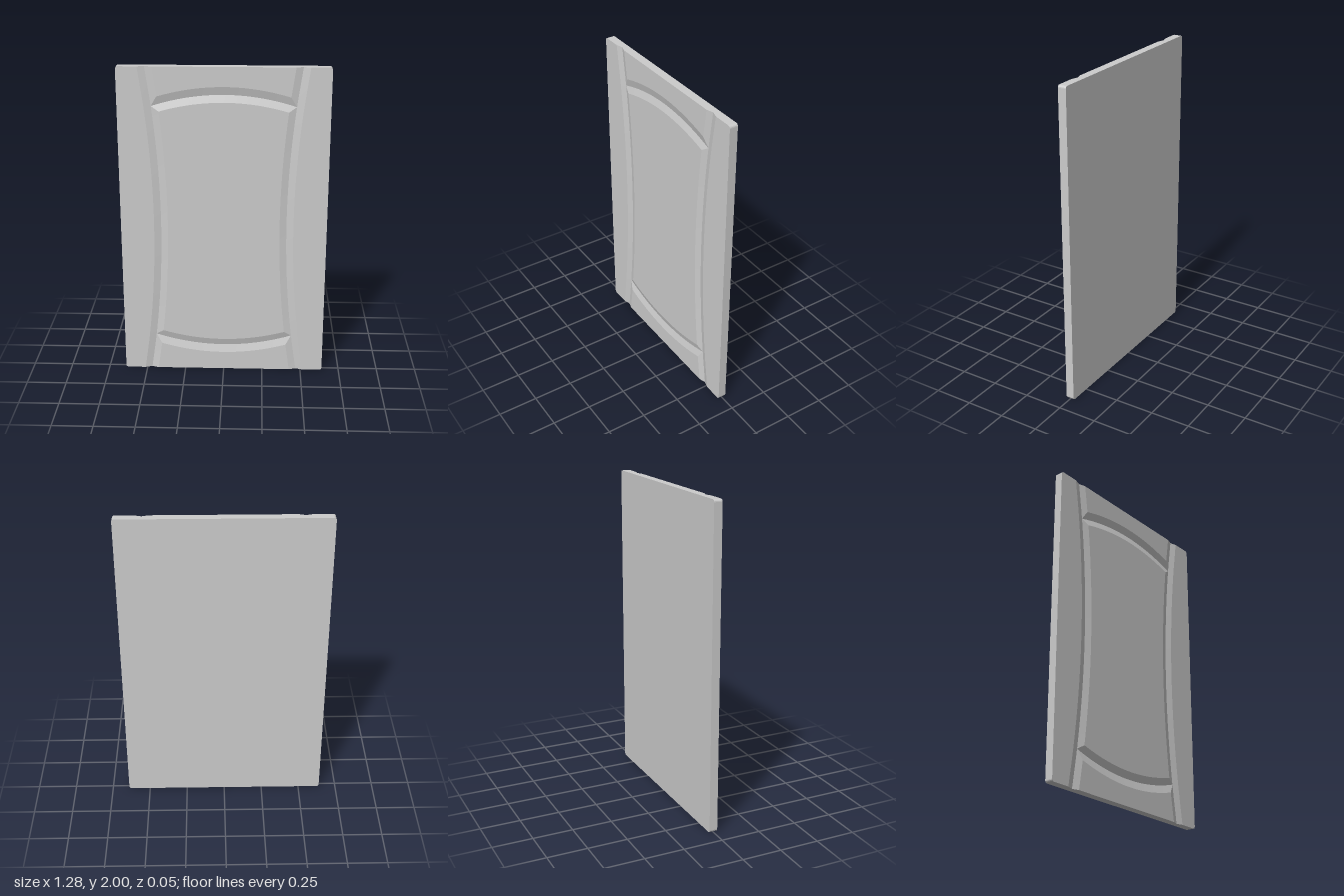
import * as THREE from 'three';
import { toCreasedNormals } from 'three/addons/utils/BufferGeometryUtils.js';

const W = 0.64;        // half width
const T = 0.026;       // half thickness
const R = 0.015;       // corner radius
const DEPTH = 0.013;   // groove depth
const HALF = 0.043;    // half width of the upright grooves

// Upright grooves bow inward at mid height; cross grooves bow toward the ends
const grooveX = (y) => 0.39 + 0.08 * (y - 1) ** 2;
const bow = (x) => -0.375 * Math.min(x * x, 0.19);

// Half width of the board at height y, with rounded corners
function halfWidth(y) {
  const over = Math.max(0, Math.abs(y - 1) - (1 - R));
  return W - R + Math.sqrt(Math.max(0, R * R - over * over));
}

// Columns: x as a function of y
function makeColumns() {
  const right = [
    { x: (y) => grooveX(y) - HALF, inner: true },
    { x: (y) => grooveX(y), deep: true },
    { x: (y) => grooveX(y) + HALF },
    { x: halfWidth },
  ];
  const left = right.map((c) => ({ ...c, x: (y) => -c.x(y) })).reverse();
  const middle = [];
  const n = 20;
  for (let i = 1; i < n; i++) {
    const s = (2 * i) / n - 1;
    middle.push({ x: (y) => s * (grooveX(y) - HALF), inner: true });
  }
  return [...left, ...middle, ...right];
}

// Rows: base height, how strongly the row bows, and whether it is a groove bottom
function makeRows() {
  const upper = [
    { y: 1.785, bend: 1 },
    { y: 1.83, bend: 1, deep: true },
    { y: 1.88, bend: 1 },
  ];
  for (let k = 0; k <= 4; k++) {
    upper.push({ y: 2 - R + R * Math.sin((k * Math.PI) / 8), bend: 0 });
  }
  const lower = upper.map((r) => ({ ...r, y: 2 - r.y, bend: -r.bend })).reverse();
  const middle = [];
  const n = 20;
  for (let i = 1; i < n; i++) {
    const s = (2 * i) / n - 1;
    middle.push({ y: 1 + 0.785 * s, bend: s });
  }
  return [...lower, ...middle, ...upper];
}

function panelGeometry() {
  const cols = makeColumns();
  const rows = makeRows();
  const nc = cols.length;
  const nr = rows.length;
  const pos = [];
  const index = [];
  const at = (i, j) => j * nc + i;
  const quad = (a, b, c, d) => index.push(a, b, c, a, c, d);

  // Front points where each row curve crosses each column curve
  for (const row of rows) {
    for (const col of cols) {
      let x = 0;
      let y = row.y;
      for (let k = 0; k < 8; k++) {
        x = col.x(y);
        y = row.y + row.bend * bow(x);
      }
      const deep = col.deep || (row.deep && col.inner);
      pos.push(x, y, deep ? T - DEPTH : T);
    }
  }

  // Front face, each cell split so that crossing grooves meet in a clean mitre
  const z = (v) => pos[v * 3 + 2];
  for (let j = 0; j < nr - 1; j++) {
    for (let i = 0; i < nc - 1; i++) {
      const [a, b, c, d] = [at(i, j), at(i + 1, j), at(i + 1, j + 1), at(i, j + 1)];
      if (z(a) + z(c) >= z(b) + z(d)) quad(a, b, c, d);
      else quad(b, c, d, a);
    }
  }

  // Back copy of the points, edge walls and flat back
  const back = nc * nr;
  for (let v = 0; v < back; v++) pos.push(pos[v * 3], pos[v * 3 + 1], -T);
  const ring = [];
  for (let i = 0; i < nc - 1; i++) ring.push(at(i, 0));
  for (let j = 0; j < nr - 1; j++) ring.push(at(nc - 1, j));
  for (let i = nc - 1; i > 0; i--) ring.push(at(i, nr - 1));
  for (let j = nr - 1; j > 0; j--) ring.push(at(0, j));
  ring.forEach((p, k) => {
    const q = ring[(k + 1) % ring.length];
    quad(p + back, q + back, q, p);
  });
  for (let j = 0; j < nr - 1; j++) {
    quad(back + at(nc - 1, j), back + at(0, j), back + at(0, j + 1), back + at(nc - 1, j + 1));
  }

  const geometry = new THREE.BufferGeometry();
  geometry.setAttribute('position', new THREE.Float32BufferAttribute(pos, 3));
  geometry.setIndex(index);
  return toCreasedNormals(geometry, 0.15);
}

export function createModel() {
  const group = new THREE.Group();
  group.name = 'cabinetDoor';
  const panel = new THREE.Mesh(panelGeometry(), new THREE.MeshStandardMaterial({ color: 0xcccccc }));
  panel.name = 'groovedPanel';
  group.add(panel);
  return group;
}
